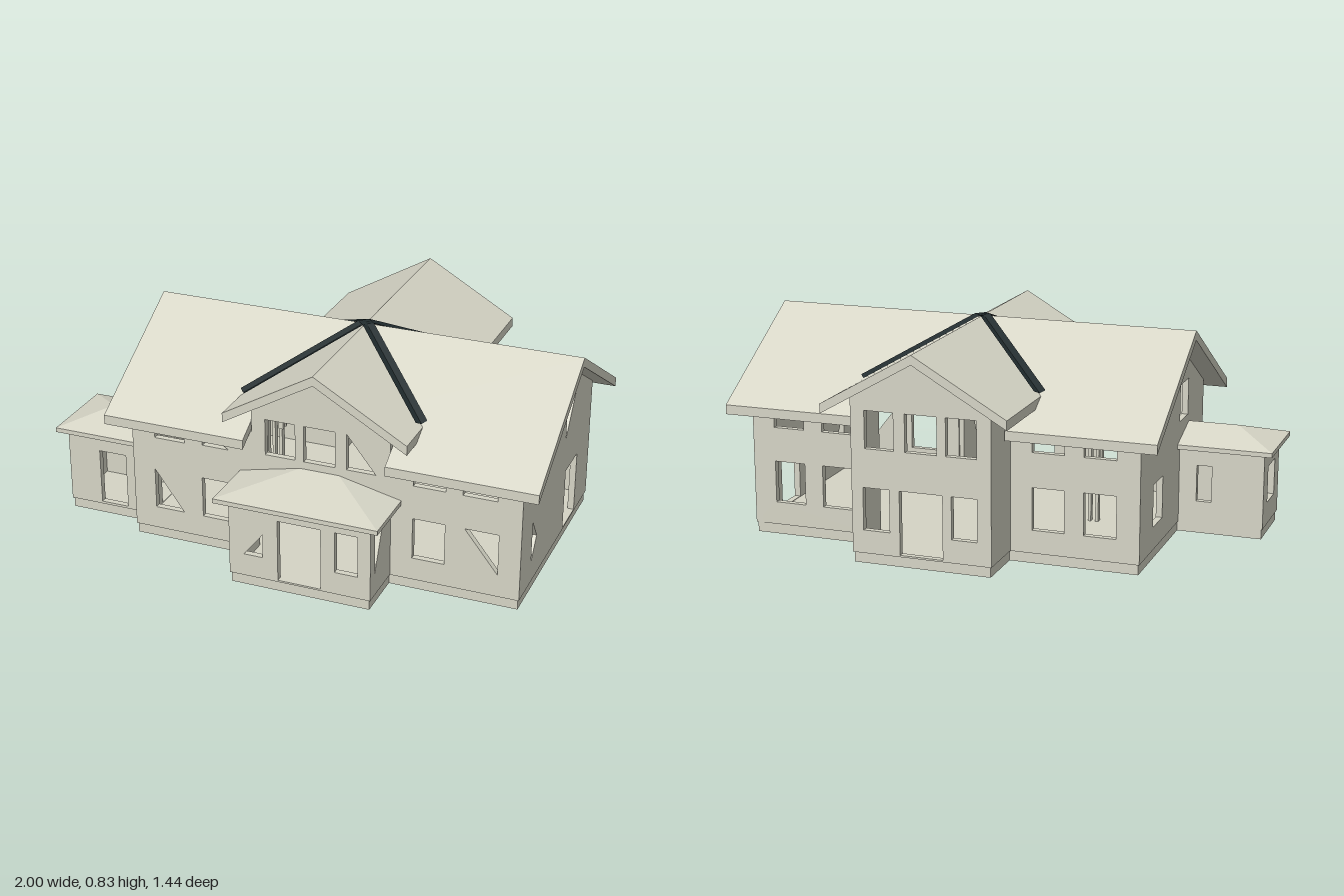
import * as THREE from 'three';

const cream = new THREE.MeshStandardMaterial({ color: 0xd6d5c6 });
cream.name = 'cream';
const valleyDark = new THREE.MeshStandardMaterial({ color: 0x1f2a2c, side: THREE.DoubleSide });
valleyDark.name = 'valley dark';

const T = 0.025;              // wall thickness
const CX = 0.145, CZ = 0.015; // crossing point of the two ridges
const RIDGE = 0.83, PITCH = 0.577, SLAB = 0.037;
const under = d => RIDGE - SLAB - PITCH * d;

const vec = pts => pts.map(([a, b]) => new THREE.Vector2(a, b));
const rect = (a, b, c, d) => [[a, b], [c, b], [c, d], [a, d]];

function extrude(pts, holes, depth) {
  const shape = new THREE.Shape(vec(pts));
  holes.forEach(h => shape.holes.push(new THREE.Path(vec(h))));
  return new THREE.ExtrudeGeometry(shape, { depth, bevelEnabled: false });
}

export function createModel() {
  const model = new THREE.Group();
  model.name = 'house';
  const add = (name, geo, mat = cream) => {
    const mesh = new THREE.Mesh(geo, mat);
    mesh.name = name;
    model.add(mesh);
    return mesh;
  };

  // Wall facing front or back, filling z - T .. z
  const wallZ = (name, z, pts, holes = []) => add(name, extrude(pts, holes, T).translate(0, 0, z - T));
  // Wall facing sideways, drawn in (z, y), filling x - T .. x
  const wallX = (name, x, pts, holes = []) => add(name, extrude(pts, holes, T).rotateY(-Math.PI / 2).translate(x, 0, 0));
  // Plate drawn in plan (x, z) whose top follows a height rule
  const plate = (name, pts, thick, height) => {
    const geo = extrude(pts.map(([x, z]) => [x, -z]), [], thick).rotateX(-Math.PI / 2);
    const p = geo.attributes.position;
    for (let i = 0; i < p.count; i++) p.setY(i, p.getY(i) - thick + height(p.getX(i), p.getZ(i)));
    geo.computeVertexNormals();
    add(name, geo);
  };

  // Foundation following the whole footprint
  plate('foundation', [
    [-0.96, 0.12], [-0.625, 0.12], [-0.625, -0.435], [-0.125, -0.435], [-0.125, -0.64], [0.415, -0.64],
    [0.415, -0.435], [0.92, -0.435], [0.92, 0.47], [0.42, 0.47], [0.42, 0.675], [-0.13, 0.675],
    [-0.13, 0.47], [-0.625, 0.47], [-0.625, 0.38], [-0.96, 0.38],
  ], 0.045, () => 0.045);

  // Main front wall with its central gable, open behind the porch
  wallZ('frontWall', 0.475, [
    [-0.63, 0.04], [-0.13, 0.04], [-0.13, 0.345], [0.42, 0.345], [0.42, 0.04], [0.925, 0.04], [0.925, 0.53],
    [0.42, 0.53], [0.42, under(0.275)], [CX, under(0)], [-0.13, under(0.275)], [-0.13, 0.53], [-0.63, 0.53],
  ], [
    rect(-0.535, 0.43, -0.41, 0.5),
    [[-0.335, 0.5], [-0.335, 0.435], [-0.225, 0.435]],
    [[-0.54, 0.295], [-0.54, 0.13], [-0.42, 0.13]],
    rect(-0.34, 0.13, -0.215, 0.295),
    rect(-0.075, 0.445, 0.045, 0.59), rect(0.08, 0.445, 0.205, 0.59),
    [[0.25, 0.59], [0.25, 0.445], [0.365, 0.445]],
    rect(0.51, 0.43, 0.635, 0.5), rect(0.7, 0.43, 0.83, 0.5),
    rect(0.51, 0.13, 0.635, 0.295),
    [[0.71, 0.295], [0.84, 0.295], [0.84, 0.13]],
  ]);

  // Back walls on both sides of the rear wing
  for (const [a, b, w] of [[-0.63, -0.13, [-0.54, -0.34]], [0.42, 0.925, [0.51, 0.71]]]) {
    const holes = w.flatMap(x => [rect(x, 0.13, x + 0.125, 0.295), rect(x, 0.43, x + 0.125, 0.5)]);
    wallZ('backWall', -0.44 + T, rect(a, 0.04, b, 0.53), holes);
  }

  // Rear wing end wall
  wallZ('rearWingWall', -0.645 + T, [
    [-0.13, 0.04], [0.42, 0.04], [0.42, under(0.275)], [CX, under(0)], [-0.13, under(0.275)],
  ], [
    rect(-0.075, 0.445, 0.045, 0.59), rect(0.08, 0.445, 0.205, 0.59), rect(0.25, 0.445, 0.365, 0.59),
    rect(-0.075, 0.13, 0.025, 0.295), rect(0.06, 0.047, 0.23, 0.295), rect(0.27, 0.13, 0.375, 0.295),
  ]);

  // Rear wing sides and the small cheeks above the main roof
  for (const x of [-0.13 + T, 0.42]) {
    wallX('rearWingSide', x, [
      [-0.645, 0.04], [-0.44, 0.04], [-0.44, 0.53], [CZ - 0.275, 0.636], [-0.645, 0.636],
    ]);
    wallX('frontGableCheek', x, [[0.475, 0.5], [0.475, 0.636], [CZ + 0.26, 0.636]]);
  }

  // Gable end walls of the main body
  const gable = [[-0.44, 0.04], [0.475, 0.04], [0.475, under(0.46)], [CZ, under(0)], [-0.44, under(0.455)]];
  wallX('rightGableWall', 0.925, gable, [
    rect(0.11, 0.445, 0.23, 0.59),
    [[-0.075, 0.59], [-0.185, 0.59], [-0.075, 0.445]],
    [[0.335, 0.295], [0.275, 0.21], [0.335, 0.13]],
    rect(-0.26, 0.047, -0.1, 0.295),
  ]);
  wallX('leftGableWall', -0.63 + T, gable, [
    rect(0.11, 0.445, 0.23, 0.59),
    [[-0.075, 0.59], [-0.185, 0.59], [-0.185, 0.445]],
    rect(-0.26, 0.13, -0.13, 0.295),
    rect(0.18, 0.047, 0.3, 0.295),
  ]);

  // Front porch walls
  wallZ('porchFrontWall', 0.68, rect(-0.135, 0.04, 0.425, 0.349), [
    [[-0.075, 0.13], [0, 0.13], [0, 0.225]],
    rect(0.06, 0.047, 0.23, 0.295), rect(0.285, 0.13, 0.375, 0.295),
  ]);
  wallX('porchRightWall', 0.425, rect(0.46, 0.04, 0.68, 0.349), [[[0.635, 0.295], [0.56, 0.295], [0.635, 0.13]]]);
  wallX('porchLeftWall', -0.135 + T, rect(0.46, 0.04, 0.68, 0.349), [rect(0.56, 0.13, 0.635, 0.295)]);

  // Side porch walls
  wallZ('sidePorchFrontWall', 0.385, rect(-0.965, 0.04, -0.62, 0.35), [rect(-0.83, 0.05, -0.715, 0.275)]);
  wallZ('sidePorchBackWall', 0.115 + T, rect(-0.965, 0.04, -0.62, 0.35), [rect(-0.76, 0.13, -0.7, 0.275)]);
  wallX('sidePorchEndWall', -0.965 + T, rect(0.115, 0.04, 0.385, 0.35), [rect(0.19, 0.13, 0.31, 0.275)]);

  // Main roof slopes, notched where the cross gable passes
  const mainH = (x, z) => RIDGE - PITCH * Math.abs(z - CZ);
  const crossH = (x, z) => RIDGE - PITCH * Math.abs(x - CX);
  for (const s of [1, -1]) {
    const eave = CZ + s * 0.53, notch = CZ + s * 0.28;
    for (const [end, side] of [[-0.71, -1], [1, 1]]) {
      const nx = CX + side * 0.28;
      plate('mainRoof', [[end, CZ], [CX, CZ], [nx, notch], [nx, eave], [end, eave]], SLAB, mainH);
      // Cross gable slope up to the valley
      const ex = CX + side * 0.362, ez = s > 0 ? 0.543 : -0.72;
      plate('crossRoof', [[CX, CZ], [CX, ez], [ex, ez], [ex, CZ + s * 0.362]], SLAB, crossH);
    }
  }

  // Dark valley strips lapping onto both slopes
  const k = 0.0165, lift = 0.005;
  for (const sx of [-1, 1]) for (const sz of [-1, 1]) {
    const pos = [];
    for (const d of [0, k, 0.355]) {
      const hi = RIDGE - PITCH * Math.max(0, d - k) + lift;
      const low = RIDGE - PITCH * d + lift;
      for (const [o, y] of [[k, hi], [0, low], [-k, hi]]) pos.push(CX + sx * (d + o), y, CZ + sz * (d - o));
    }
    const index = [];
    for (const i of [0, 1, 3, 4]) {
      if (sx * sz > 0) index.push(i, i + 1, i + 3, i + 1, i + 4, i + 3);
      else index.push(i, i + 3, i + 1, i + 1, i + 3, i + 4);
    }
    const geo = new THREE.BufferGeometry();
    geo.setAttribute('position', new THREE.Float32BufferAttribute(pos, 3));
    geo.setIndex(index);
    const flat = geo.toNonIndexed();
    flat.computeVertexNormals();
    add('valleyStrip', flat, valleyDark);
  }

  // Hipped front porch roof
  const pr = 0.225;
  plate('porchRoofFront', [[-0.18, 0.72], [0.465, 0.72], [0.22, 0.475], [0.065, 0.475]], 0.018, (x, z) => 0.36 + pr * (0.72 - z));
  plate('porchRoofLeft', [[-0.18, 0.72], [0.065, 0.475], [-0.18, 0.475]], 0.018, x => 0.36 + pr * (x + 0.18));
  plate('porchRoofRight', [[0.465, 0.72], [0.22, 0.475], [0.465, 0.475]], 0.018, x => 0.36 + pr * (0.465 - x));

  // Hipped side porch roof
  const sr = 0.32;
  plate('sidePorchRoofEnd', [[-1, 0.08], [-1, 0.42], [-0.83, 0.25]], 0.018, x => 0.36 + sr * (x + 1));
  for (const s of [1, -1]) {
    const e = 0.25 + s * 0.17;
    plate('sidePorchRoofSlope', [[-1, e], [-0.625, e], [-0.625, 0.25], [-0.83, 0.25]], 0.018,
      (x, z) => 0.36 + sr * (0.17 - Math.abs(z - 0.25)));
  }

  // Interior studs seen through the openings
  for (let i = 0; i < 5; i++) {
    add('lowerStud', new THREE.BoxGeometry(0.012, 0.4, 0.025).translate(-0.335 + i * 0.03, 0.245, 0));
  }
  for (const z0 of [0.11, -0.19]) for (let i = 0; i < 5; i++) {
    add('upperStud', new THREE.BoxGeometry(0.02, 0.2, 0.012).translate(-0.12, 0.53, z0 + i * 0.028));
  }
  return model;
}
